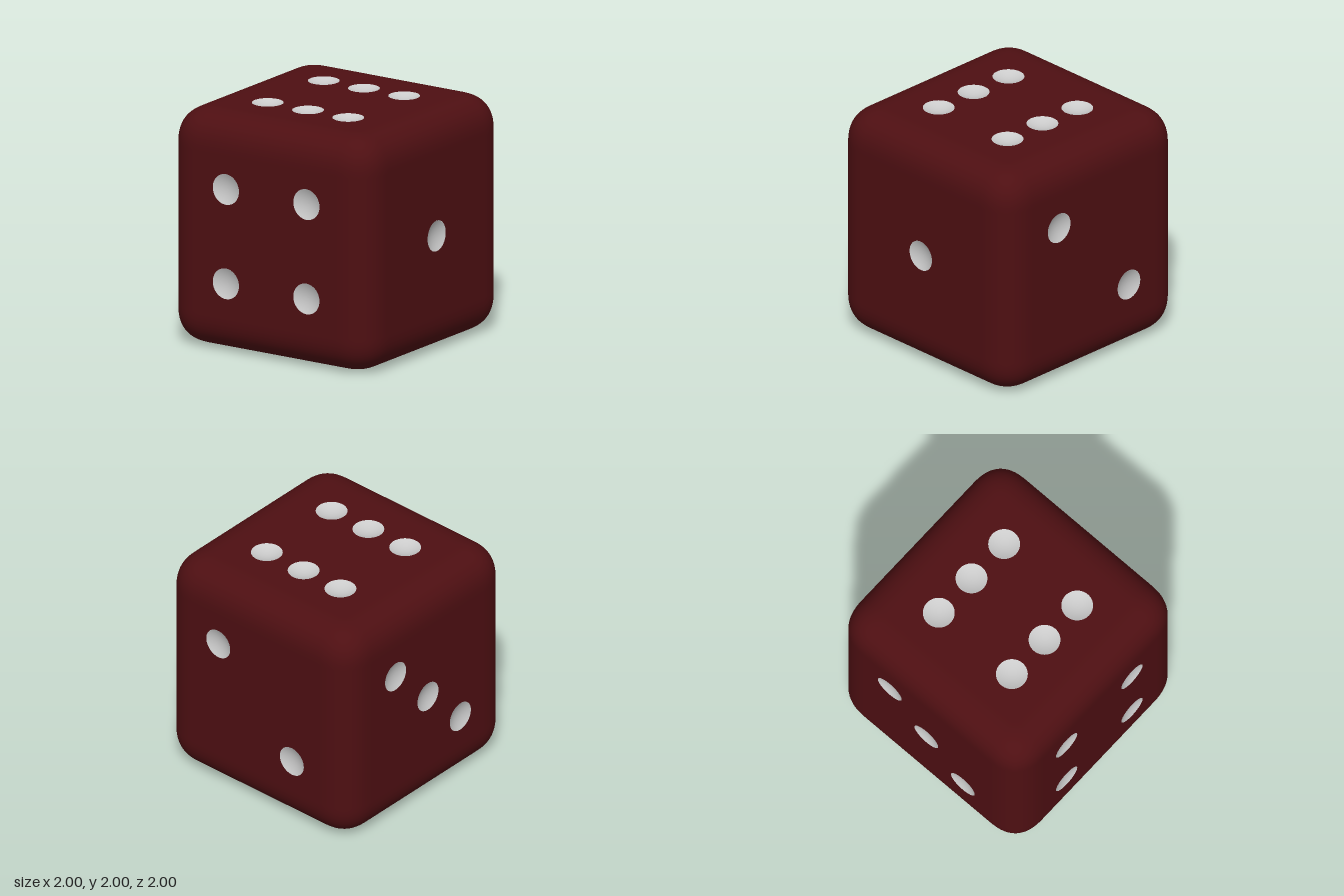
import * as THREE from 'three';

const ROUND = 0.32;       // width of the rounded border
const POWER = 2.5;        // superellipse exponent of the rounding
const FLAT = 1 - ROUND;   // half size of each flat face
const PIP_R = 0.13;
const PIP_DEPTH = 0.03;
const P = 0.4;            // pip spacing

// Rounded shell of the cube, left open where the flat face panels go
function shellGeometry() {
  const geo = new THREE.BoxGeometry(2, 2, 2, 50, 50, 50);
  const pos = geo.attributes.position, nor = geo.attributes.normal;
  const flat = [];
  for (let i = 0; i < pos.count; i++) {
    const p = [pos.getX(i), pos.getY(i), pos.getZ(i)];
    const core = p.map(v => THREE.MathUtils.clamp(v, -FLAT, FLAT));
    const d = p.map((v, k) => (Math.abs(v - core[k]) < 1e-5 ? 0 : v - core[k]));
    flat.push(d.filter(v => v !== 0).length === 1);
    const len = Math.pow(d.reduce((s, v) => s + Math.pow(Math.abs(v), POWER), 0), 1 / POWER);
    const q = d.map(v => v * ROUND / len);
    const n = new THREE.Vector3(...q.map(v => Math.sign(v) * Math.pow(Math.abs(v), POWER - 1))).normalize();
    pos.setXYZ(i, core[0] + q[0], core[1] + q[1], core[2] + q[2]);
    nor.setXYZ(i, n.x, n.y, n.z);
  }
  const src = geo.index.array, kept = [];
  for (let i = 0; i < src.length; i += 3) {
    const tri = [src[i], src[i + 1], src[i + 2]];
    if (!tri.every(v => flat[v])) kept.push(...tri);
  }
  geo.setIndex(kept);
  return geo;
}

// Flat panel with a round hole for each pip, facing +z
function panelGeometry(pips) {
  const shape = new THREE.Shape([[-1, -1], [1, -1], [1, 1], [-1, 1]]
    .map(([x, y]) => new THREE.Vector2(x * FLAT, y * FLAT)));
  for (const [x, y] of pips) {
    shape.holes.push(new THREE.Path().absarc(x, y, PIP_R, 0, Math.PI * 2, true));
  }
  return new THREE.ShapeGeometry(shape, 48);
}

// Shallow bowl opening toward +z
function pipGeometry() {
  const profile = [];
  for (let i = 0; i <= 8; i++) {
    const t = 1 - i / 8;
    profile.push(new THREE.Vector2(PIP_R * t, -PIP_DEPTH * (1 - t * t)));
  }
  return new THREE.LatheGeometry(profile, 48).rotateX(Math.PI / 2);
}

export function createModel() {
  const model = new THREE.Group();
  model.name = 'die';
  const red = new THREE.MeshStandardMaterial({ color: 0x4e0f12 });
  const grey = new THREE.MeshStandardMaterial({ color: 0xcccccc, side: THREE.DoubleSide });

  const cube = new THREE.Group();
  cube.name = 'cube';
  cube.position.y = 1;
  model.add(cube);

  const shell = new THREE.Mesh(shellGeometry(), red);
  shell.name = 'roundedEdges';
  cube.add(shell);

  // Pip layout of each face, as seen when looking straight at it
  const corners = [[-P, P], [P, P], [-P, -P], [P, -P]];
  const diagonal = [[-P, P], [P, -P]];
  const H = Math.PI / 2;
  const faces = [
    ['frontFace', 0, 0, corners],
    ['leftFace', 0, H, [[0, 0]]],
    ['backFace', 0, Math.PI, diagonal],
    ['rightFace', 0, -H, [...diagonal, [0, 0]]],
    ['topFace', -H, 0, [...corners, [0, P], [0, -P]]],
    ['bottomFace', H, 0, [...corners, [0, 0]]],
  ];

  const bowl = pipGeometry();
  for (const [name, rx, ry, pips] of faces) {
    const face = new THREE.Group();
    face.name = name;
    face.rotation.set(rx, ry, 0);
    const panel = new THREE.Mesh(panelGeometry(pips), red);
    panel.name = 'panel';
    panel.position.z = 1;
    face.add(panel);
    for (const [x, y] of pips) {
      const pip = new THREE.Mesh(bowl, grey);
      pip.name = 'pip';
      pip.position.set(x, y, 1);
      face.add(pip);
    }
    cube.add(face);
  }
  return model;
}
